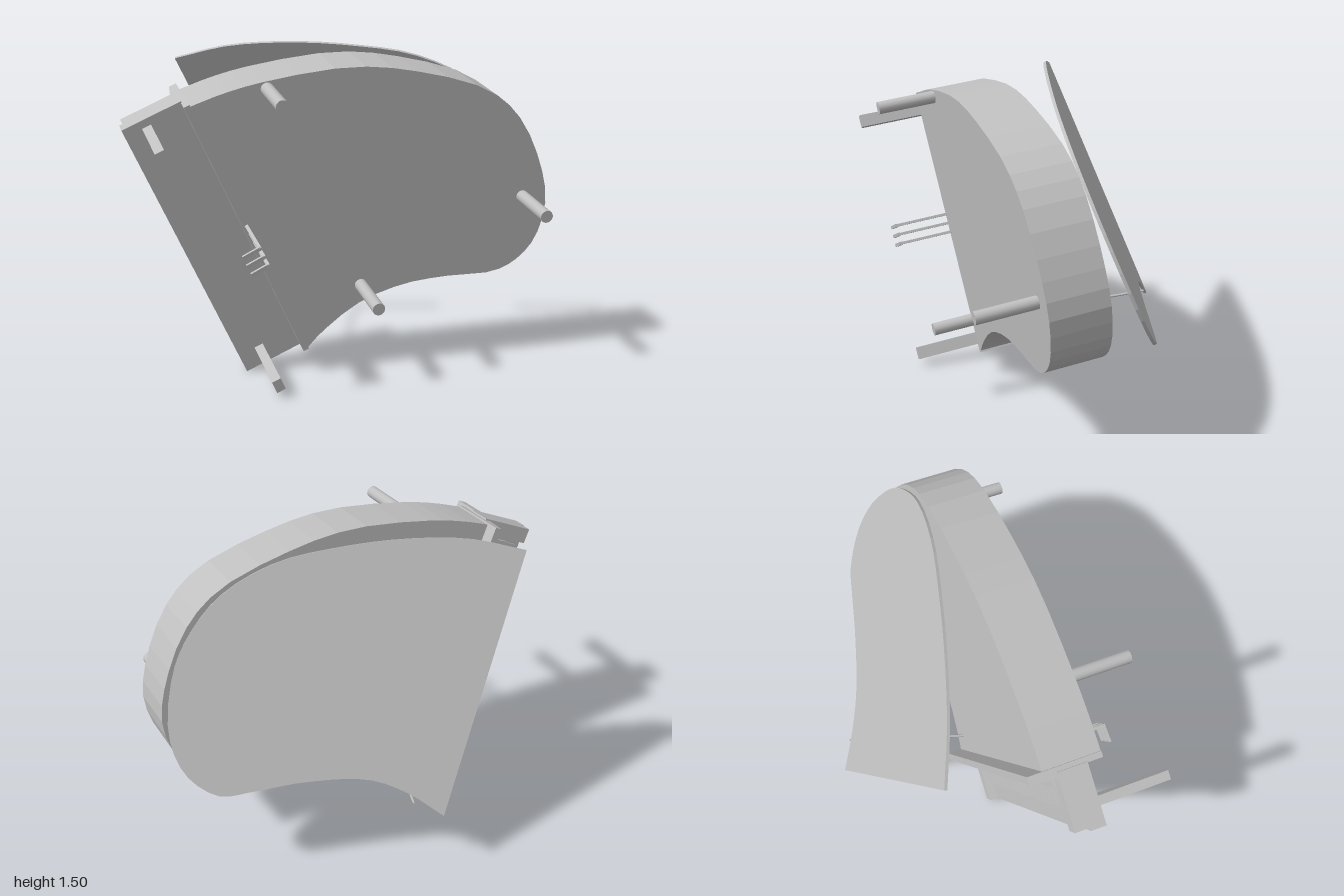
import * as THREE from 'three';
import { mergeGeometries } from 'three/addons/utils/BufferGeometryUtils.js';

// Local frame: x across the keyboard, y up from the floor, z towards the tail.
const MID = -0.858, FLOOR = -0.481, CASE_TOP = 0.06, CASE_BOTTOM = -0.21;

// Outlines as [x, z], running from the front corner round the tail and back
const CASE = [[-1.508, -0.09], [-1.495, 0.06], [-1.462, 0.239], [-1.34, 0.625], [-1.186, 0.882],
  [-0.947, 1.155], [-0.758, 1.244], [-0.502, 1.26], [-0.302, 1.219], [-0.157, 1.109],
  [-0.102, 0.994], [-0.1, 0.871], [-0.195, 0.652], [-0.265, 0.448], [-0.286, 0.221],
  [-0.235, 0], [-0.195, -0.09]];
const LID = [[0, 0], [0.021, 0.258], [0.1, 0.538], [0.213, 0.805], [0.353, 1.053], [0.548, 1.24],
  [0.742, 1.324], [0.928, 1.35], [1.209, 1.295], [1.363, 1.175], [1.417, 1.013],
  [1.364, 0.879], [1.266, 0.671], [1.181, 0.392], [1.195, 0.2], [1.259, 0]];

// Flat slab with a curved outline; its top face lies at y = 0
function slab(points, thickness, divisions) {
  const curve = new THREE.CatmullRomCurve3(points.map(([x, z]) => new THREE.Vector3(x, z, 0)));
  const shape = new THREE.Shape(curve.getPoints(divisions).map(p => new THREE.Vector2(p.x, p.y)));
  const geo = new THREE.ExtrudeGeometry(shape, { depth: thickness, bevelEnabled: false });
  return geo.rotateX(Math.PI / 2);
}

// Box given by its limits on each axis
function block(x0, x1, y0, y1, z0, z1) {
  return new THREE.BoxGeometry(x1 - x0, y1 - y0, z1 - z0)
    .translate((x0 + x1) / 2, (y0 + y1) / 2, (z0 + z1) / 2);
}

// Bar along x with a cross-section of [z, y] points
function bar(section, x0, x1) {
  const shape = new THREE.Shape(section.map(([z, y]) => new THREE.Vector2(-z, y)));
  return new THREE.ExtrudeGeometry(shape, { depth: x1 - x0, bevelEnabled: false })
    .rotateY(Math.PI / 2).translate(x0, 0, 0);
}

function frame(xAxis, yAxis) {
  const x = xAxis.normalize();
  const z = new THREE.Vector3().crossVectors(x, yAxis).normalize();
  const y = new THREE.Vector3().crossVectors(z, x);
  return new THREE.Matrix4().makeBasis(x, y, z);
}

export function createModel() {
  const grey = new THREE.MeshStandardMaterial({ color: 0xc0c0c0 });
  grey.name = 'plain grey';
  const root = new THREE.Group();
  root.name = 'grandPiano';
  const piano = new THREE.Group();
  piano.name = 'tiltedPiano';
  piano.setRotationFromMatrix(frame(new THREE.Vector3(0.425, -0.9025, -0.072),
    new THREE.Vector3(0.078, 0.116, -0.99)));
  root.add(piano);
  const add = (name, geo, parent = piano) => {
    const mesh = new THREE.Mesh(geo, grey);
    mesh.name = name;
    parent.add(mesh);
    return mesh;
  };

  // Curved case and the panel across its front
  add('case', slab(CASE, CASE_TOP - CASE_BOTTOM, 40)).position.y = CASE_TOP;
  add('frontPanel', block(-1.515, -0.192, CASE_BOTTOM, 0.13, -0.105, -0.078));
  add('fallboard', bar([[-0.13, 0], [-0.104, 0], [-0.104, 0.13], [-0.112, 0.13]], -1.515, -0.192));

  // Keyboard bed with cheeks and rails
  add('keybed', block(-1.522, -0.193, -0.137, -0.065, -0.381, -0.1));
  add('keySlip', block(-1.45, -0.265, -0.07, -0.04, -0.372, -0.348));
  add('nameRail', block(-1.45, -0.265, -0.07, 0.015, -0.17, -0.11));
  for (const s of [-1, 1]) {
    const c = MID + s * 0.628;
    add('cheek', block(c - 0.036, c + 0.036, -0.07, 0.004, -0.366, -0.1));
  }

  // Keys: 52 naturals with sharps in groups of two and three
  const naturals = [], sharps = [];
  const x0 = -1.45, pitch = 1.185 / 52;
  for (let i = 0; i < 52; i++) {
    const x = x0 + i * pitch;
    naturals.push(block(x + 0.001, x + pitch - 0.001, -0.07, -0.03, -0.346, -0.165));
    if (i < 51 && ![1, 4].includes(i % 7)) {
      sharps.push(block(x + pitch - 0.006, x + pitch + 0.006, -0.04, -0.012, -0.278, -0.165));
    }
  }
  add('naturalKeys', mergeGeometries(naturals));
  add('sharpKeys', mergeGeometries(sharps));

  // Square legs under the keyboard, round legs under the case
  for (const s of [-1, 1]) {
    const x = MID + s * 0.6;
    add('squareLeg', block(x - 0.03, x + 0.03, FLOOR, -0.13, -0.3, -0.258));
  }
  for (const [x, z] of [[-1.425, 0.248], [-0.39, 1.125], [-0.367, 0.265]]) {
    const h = CASE_BOTTOM + 0.01 - FLOOR;
    add('roundLeg', new THREE.CylinderGeometry(0.029, 0.029, h, 14)).position.set(x, FLOOR + h / 2, z);
  }

  // Three pedals on rods
  for (const i of [-1, 0, 1]) {
    const x = MID + 0.008 + i * 0.045;
    add('pedalRod', block(x - 0.006, x + 0.006, -0.475, -0.2, -0.095, -0.08));
    add('pedal', bar([[-0.17, -0.481], [-0.085, -0.473], [-0.085, -0.46], [-0.17, -0.468]],
      x - 0.008, x + 0.008));
  }

  // Raised lid
  const lid = new THREE.Group();
  lid.name = 'lid';
  lid.setRotationFromMatrix(frame(new THREE.Vector3(0.988, 0.151, 0.03),
    new THREE.Vector3(-0.151, 0.9116, 0.383)));
  lid.position.set(-1.519, 0.478, -0.014);
  piano.add(lid);
  add('lidBoard', slab(LID, 0.014, 48), lid);

  // Prop stick between case and lid
  const a = new THREE.Vector3(-0.335, CASE_TOP - 0.01, 0), b = new THREE.Vector3(-0.292, 0.605, 0.16);
  const prop = add('propStick', new THREE.CylinderGeometry(0.006, 0.006, a.distanceTo(b), 8));
  prop.position.copy(a).lerp(b, 0.5);
  prop.quaternion.setFromUnitVectors(new THREE.Vector3(0, 1, 0), b.clone().sub(a).normalize());

  return root;
}
